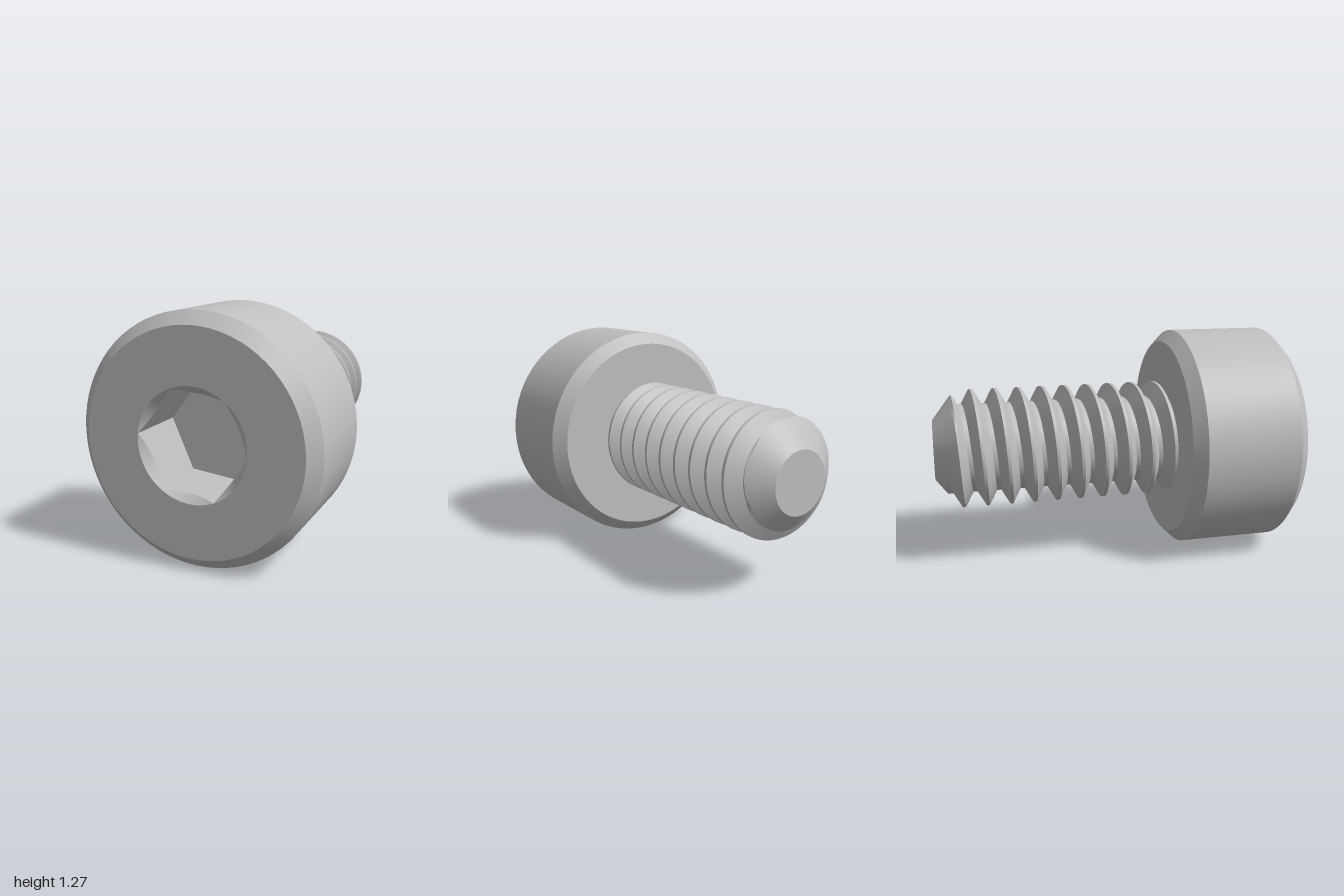
import * as THREE from 'three';
import { toCreasedNormals } from 'three/addons/utils/BufferGeometryUtils.js';

const SEGMENTS = 72;
const HEAD_RADIUS = 0.633, HEAD_BACK = 0.335, CHAMFER = 0.064;
const SOCKET_RADIUS = 0.288, SOCKET_FLOOR = 0.665, SOCKET_TURN = THREE.MathUtils.degToRad(53);
const PITCH = 0.1334, CREST = 0.333, ROOT = 0.25, TIP_RADIUS = 0.167;

// Surface from rows of points around the z axis; point(theta, row) gives [radius, z]
function ringSurface(rows, start, point) {
  const positions = [];
  const at = (i, j) => {
    const theta = start + (i / SEGMENTS) * Math.PI * 2;
    const [r, z] = point(theta, j);
    return new THREE.Vector3(r * Math.cos(theta), r * Math.sin(theta), z);
  };
  const addTriangle = (a, b, c) => {
    const area = b.clone().sub(a).cross(c.clone().sub(a)).length();
    if (area > 1e-8) positions.push(...a.toArray(), ...b.toArray(), ...c.toArray());
  };
  for (let i = 0; i < SEGMENTS; i++) {
    for (let j = 0; j < rows - 1; j++) {
      const a = at(i, j), b = at(i + 1, j), c = at(i + 1, j + 1), d = at(i, j + 1);
      addTriangle(a, b, c);
      addTriangle(a, c, d);
    }
  }
  const geometry = new THREE.BufferGeometry();
  geometry.setAttribute('position', new THREE.Float32BufferAttribute(positions, 3));
  return toCreasedNormals(geometry, 0.6);
}

// Chamfered cylinder with an open middle at the front
function headGeometry() {
  const profile = [
    [0.2, HEAD_BACK], [HEAD_RADIUS - CHAMFER, HEAD_BACK],
    [HEAD_RADIUS, HEAD_BACK + CHAMFER], [HEAD_RADIUS, 1 - CHAMFER],
    [HEAD_RADIUS - CHAMFER, 1], [SOCKET_RADIUS, 1],
  ].map(([r, y]) => new THREE.Vector2(r, y));
  const geometry = new THREE.LatheGeometry(profile, SEGMENTS);
  geometry.rotateX(Math.PI / 2).rotateZ(SOCKET_TURN);
  return toCreasedNormals(geometry, 0.6);
}

// Countersunk rim running into six flat walls
function socketGeometry() {
  const side = Math.PI / 3;
  return ringSurface(3, SOCKET_TURN, (theta, row) => {
    if (row === 0) return [SOCKET_RADIUS, 1];
    const turn = theta - SOCKET_TURN + 1e-9;
    const local = turn - Math.floor(turn / side) * side - side / 2;
    const r = SOCKET_RADIUS * Math.cos(side / 2) / Math.cos(local);
    return [r, row === 1 ? 1 - (SOCKET_RADIUS - r) : SOCKET_FLOOR];
  });
}

// Right-handed helical ridge, cut by a cone at the tip
function threadGeometry() {
  const steps = [];
  const corners = [[-0.0085, CREST], [0.0085, CREST], [0.0547, ROOT], [PITCH - 0.0547, ROOT], [PITCH - 0.0085, CREST]];
  const splits = [1, 6, 1, 6];
  splits.forEach((count, k) => {
    for (let s = 0; s < count; s++) {
      const t = s / count;
      steps.push([
        THREE.MathUtils.lerp(corners[k][0], corners[k + 1][0], t),
        THREE.MathUtils.lerp(corners[k][1], corners[k + 1][1], t),
      ]);
    }
  });
  const radiusAt = (offset) => {
    const d = Math.abs(offset - PITCH * Math.round(offset / PITCH));
    return THREE.MathUtils.clamp(CREST - (d - 0.0085) * (CREST - ROOT) / 0.0462, ROOT, CREST);
  };
  const turns = 13;
  const firstCrest = 0.2575 - 11 * PITCH;
  return ringSurface(turns * steps.length, 0, (theta, row) => {
    const helix = firstCrest + PITCH * theta / (Math.PI * 2);
    const step = steps[row % steps.length];
    const raw = helix + Math.floor(row / steps.length) * PITCH + step[0];
    const z = THREE.MathUtils.clamp(raw, -1, HEAD_BACK);
    const r = z === raw ? step[1] : radiusAt(z - helix);
    return [Math.min(r, TIP_RADIUS + (z + 1) * 1.3), z];
  });
}

export function createModel() {
  const model = new THREE.Group();
  model.name = 'socketHeadScrew';
  const steel = new THREE.MeshStandardMaterial({ color: 0xbfbfbf });
  steel.name = 'steel';

  const add = (name, geometry) => {
    const mesh = new THREE.Mesh(geometry, steel);
    mesh.name = name;
    mesh.position.y = HEAD_RADIUS;
    model.add(mesh);
    return mesh;
  };

  add('head', headGeometry());
  add('hexSocket', socketGeometry());
  add('socketFloor', new THREE.CircleGeometry(SOCKET_RADIUS, 6, SOCKET_TURN)).position.z = SOCKET_FLOOR;
  add('threadedShank', threadGeometry());
  add('shankTip', new THREE.CircleGeometry(TIP_RADIUS, SEGMENTS).rotateY(Math.PI)).position.z = -1;
  return model;
}
